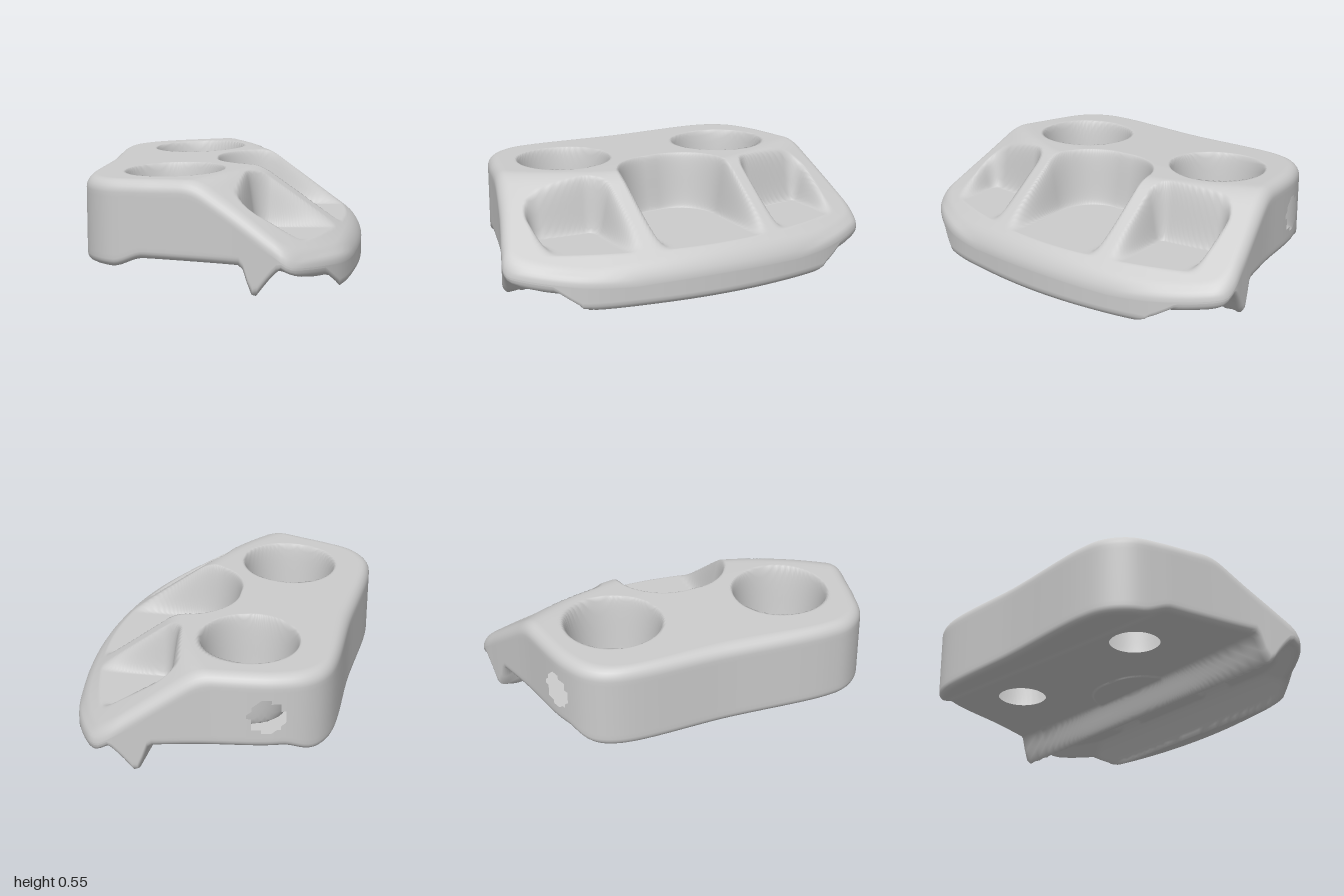
import * as THREE from 'three';

const { smoothstep, lerp } = THREE.MathUtils;
const SEG = 240;

// Outline in plan (x, z), counter-clockwise seen from above
const OUTLINE = [
  [0.28, 1], [0.36, 0.955], [0.55, 0.7], [0.65, 0.35], [0.7, 0], [0.7, -0.35], [0.65, -0.68],
  [0.56, -0.9], [0.5, -0.98], [0.43, -1], [0.32, -0.985], [0, -0.925], [-0.38, -0.87],
  [-0.53, -0.8], [-0.61, -0.68], [-0.655, -0.1], [-0.705, 0.45], [-0.685, 0.58], [-0.6, 0.69],
  [-0.45, 0.755], [-0.3, 0.8], [0, 0.895], [0.2, 0.975],
];

// Round recesses, each with a smaller hole through the base
const BOLTS = [[-0.19, -0.51], [-0.27, 0.4]];
const HOLE_R = 0.13;

// Pockets cut into the slope: left edge x and its tilt, z range, corner radius
const POCKETS = [
  { x: 0.16, tilt: 0.12, z0: -0.82, z1: -0.4, r: 0.08 },
  { x: -0.06, tilt: 0, z0: -0.31, z1: 0.28, r: 0.26 },
  { x: 0.08, tilt: -0.15, z0: 0.385, z1: 0.81, r: 0.1 },
];

// Distance inwards from the curved rim
const rimDistance = (x, z) => Math.max(0, 1.68 - Math.hypot(x + 0.955, z + 0.113));

// Signed distance to a pocket that is open towards +x
function pocketDistance(p, x, z) {
  const dz = z - (p.z0 + p.z1) / 2;
  const qx = p.x + p.tilt * dz + p.r - x;
  const qz = Math.abs(dz) - (p.z1 - p.z0) / 2 + p.r;
  return Math.hypot(Math.max(qx, 0), Math.max(qz, 0)) + Math.min(Math.max(qx, qz), 0) - p.r;
}

// Upper face: flat deck, slope, pockets and recesses
function topHeight(x, z) {
  const deck = 0.545 + 0.03 * Math.min(x, 0);
  const slope = 0.17 + 0.76 * rimDistance(x, z) + 0.05 * Math.abs(z) ** 3;
  const k = 0.04;
  const h = Math.max(k - Math.abs(deck - slope), 0) / k;
  let y = Math.min(deck, slope) - h * h * k / 4;
  for (const p of POCKETS) {
    const m = 1 - smoothstep(pocketDistance(p, x, z), -0.05, 0.01);
    y = lerp(y, Math.min(y, 0.25), m);
  }
  for (const [bx, bz] of BOLTS) {
    const m = 1 - smoothstep(Math.hypot(x - bx, z - bz), 0.185, 0.25);
    y = lerp(y, 0.16, m);
  }
  return y;
}

// Underside: low left edge, raised plate, narrow ridge, straight trough, rim foot
function bottomHeight(x, z) {
  const u = x + 0.085 * z;
  let y = 0.15 - 0.05 * (1 - smoothstep(x, -0.56, -0.4));
  y = lerp(y, 0.01, smoothstep(u, 0.14, 0.205));
  const c = (u - 0.41) / 0.19;
  if (Math.abs(c) < 1) y = 0.01 + 0.17 * Math.cos(c * Math.PI / 2);
  else if (c > 0) y = 0;
  return Math.min(y, topHeight(x, z) - 0.11);
}

// Plate height around the through holes stays level with the recess floors
function openHoles(x, z) {
  for (const [bx, bz] of BOLTS) {
    const r = Math.hypot(x - bx, z - bz);
    if (r < HOLE_R) {
      const s = HOLE_R / Math.max(r, 1e-5);
      return [bx + (x - bx) * s, bz + (z - bz) * s, true];
    }
  }
  return [x, z, false];
}

// The plate keeps its own height under the recesses
function undersideHeight(x, z) {
  const overBolt = BOLTS.some(([bx, bz]) => Math.hypot(x - bx, z - bz) < 0.26);
  return overBolt ? 0.15 - 0.05 * (1 - smoothstep(x, -0.56, -0.4)) : bottomHeight(x, z);
}

// Rings running from the top centre, over the edge, to the bottom centre.
// Each gives: fraction of the inner plan, outward part of the edge radius, height rule.
function makeRings() {
  const rings = [];
  const rTop = 0.06, rBot = 0.04;
  for (let j = 0; j <= 90; j++) rings.push({ t: j / 90, out: 0, y: topHeight });
  const edgeTop = (a) => (x, z) => topHeight(x, z) - rTop * (1 - Math.cos(a));
  const edgeBot = (a) => (x, z) => bottomHeight(x, z) + rBot * (1 - Math.cos(a));
  for (let j = 1; j <= 6; j++) {
    const a = j / 6 * Math.PI / 2;
    rings.push({ t: 1, out: Math.sin(a), y: edgeTop(a) });
  }
  for (let j = 1; j < 14; j++) {
    const f = j / 14;
    rings.push({
      t: 1, out: 1, wall: true,
      y: (x, z) => lerp(topHeight(x, z) - rTop, bottomHeight(x, z) + rBot, f),
    });
  }
  for (let j = 5; j >= 0; j--) {
    const a = j / 5 * Math.PI / 2;
    rings.push({ t: 1, out: 1 - (1 - Math.sin(a)) * rBot / rTop, y: edgeBot(a) });
  }
  for (let j = 89; j >= 0; j--) rings.push({ t: j / 90, out: 0.33 * j / 90, y: undersideHeight });
  return rings;
}

function bodyGeometry() {
  const curve = new THREE.CatmullRomCurve3(
    OUTLINE.map(([x, z]) => new THREE.Vector3(x, 0, z)), true, 'centripetal');
  const rim = curve.getSpacedPoints(SEG).slice(0, SEG);
  const rings = makeRings();
  const pos = [], removed = [], index = [];

  for (const ring of rings) {
    for (const p of rim) {
      const inset = 0.06 / p.length();
      const s = ring.t * (1 - inset) + ring.out * inset;
      const [x, z, inHole] = openHoles(p.x * s, p.z * s);
      const y = ring.y(x, z);
      // small opening in the back wall
      const inGap = ring.wall && z < -0.6 && Math.hypot(x + 0.33, y - 0.32) < 0.1;
      pos.push(x, y, z);
      removed.push(inHole || inGap);
    }
  }
  for (let j = 0; j < rings.length - 1; j++) {
    for (let i = 0; i < SEG; i++) {
      const a = j * SEG + i, b = a + SEG;
      const c = j * SEG + (i + 1) % SEG, d = c + SEG;
      if (!(removed[a] && removed[b] && removed[c])) index.push(a, b, c);
      if (!(removed[b] && removed[d] && removed[c])) index.push(b, d, c);
    }
  }
  const geo = new THREE.BufferGeometry();
  geo.setAttribute('position', new THREE.Float32BufferAttribute(pos, 3));
  geo.setIndex(index);
  geo.computeVertexNormals();
  return geo;
}

export function createModel() {
  const group = new THREE.Group();
  group.name = 'pocketedBlock';
  const material = new THREE.MeshStandardMaterial({ color: 0xcccccc, side: THREE.DoubleSide });
  const body = new THREE.Mesh(bodyGeometry(), material);
  body.name = 'body';
  group.add(body);
  return group;
}
